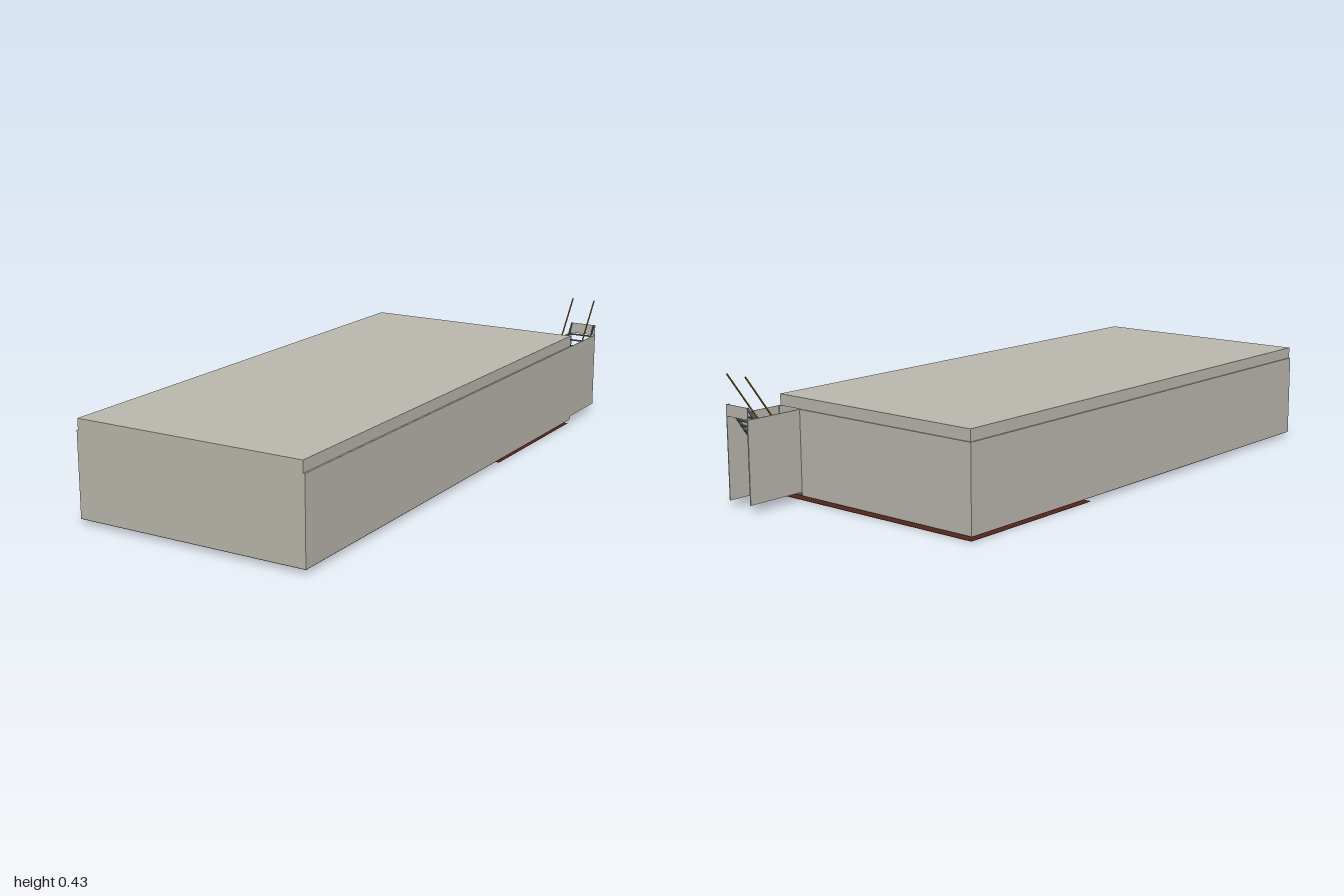
import * as THREE from 'three';

const concrete = new THREE.MeshStandardMaterial({ name: 'concrete', color: 0xbdbab0 });
const darkFloor = new THREE.MeshStandardMaterial({ name: 'darkFloor', color: 0x5b5f5e });
const redFloor = new THREE.MeshStandardMaterial({ name: 'redFloor', color: 0x56241a });
const stairSteel = new THREE.MeshStandardMaterial({ name: 'stairSteel', color: 0x646b70 });
const railBrass = new THREE.MeshStandardMaterial({ name: 'railBrass', color: 0x86691c });

// Box given by its limits on each axis
function slab(name, material, [x0, x1], [y0, y1], [z0, z1]) {
  const mesh = new THREE.Mesh(new THREE.BoxGeometry(x1 - x0, y1 - y0, z1 - z0), material);
  mesh.position.set((x0 + x1) / 2, (y0 + y1) / 2, (z0 + z1) / 2);
  mesh.name = name;
  return mesh;
}

// Sloping bar in the y-z plane between two [y, z] points
function slopingBar(name, material, x, [y0, z0], [y1, z1], width, depth) {
  const length = Math.hypot(y1 - y0, z1 - z0);
  const mesh = new THREE.Mesh(new THREE.BoxGeometry(width, length, depth), material);
  mesh.position.set(x, (y0 + y1) / 2, (z0 + z1) / 2);
  mesh.rotation.x = Math.atan2(z1 - z0, y1 - y0);
  mesh.name = name;
  return mesh;
}

export function createModel() {
  const model = new THREE.Group();
  model.name = 'basement';

  // Hollow room: walls, roof slab and floor
  const room = new THREE.Group();
  room.name = 'room';
  room.add(
    slab('rightWall', concrete, [-0.41, -0.404], [0.017, 0.297], [-0.79, 1]),
    slab('leftWall', concrete, [0.404, 0.41], [0.017, 0.297], [-0.79, 1]),
    slab('frontWall', concrete, [-0.404, 0.404], [0.017, 0.297], [0.992, 1]),
    slab('backWall', concrete, [-0.404, 0.31], [0.017, 0.297], [-0.789, -0.78]),
    slab('roofSlab', concrete, [-0.405, 0.404], [0.297, 0.335], [-0.785, 1]),
    slab('subfloor', concrete, [-0.404, 0.404], [0.017, 0.02], [-0.78, 0.992])
  );

  // Dark floor panels with narrow joints
  const joints = [1, 0.65, 0.28, -0.215, -0.79];
  for (let i = 0; i < joints.length - 1; i++) {
    const back = joints[i + 1] + (i < 3 ? 0.002 : 0);
    room.add(slab('floorPanel', darkFloor, [-0.41, 0.41], [0.015, 0.017], [back, joints[i]]));
  }
  room.add(slab('redFloorPlate', redFloor, [-0.405, 0.403], [0, 0.001], [-0.785, -0.215]));
  model.add(room);

  // Stairwell enclosure, open at the back
  const stairwell = new THREE.Group();
  stairwell.name = 'stairwell';
  stairwell.add(
    slab('innerStairWall', concrete, [0.31, 0.314], [0.028, 0.297], [-1, -0.789]),
    slab('outerStairWall', concrete, [0.407, 0.41], [0.028, 0.297], [-1, -0.79]),
    slab('topPanel', concrete, [0.31, 0.41], [0.297, 0.335], [-1, -0.998])
  );

  // Open-riser stair with stringers and handrails
  const steps = 14;
  for (let i = 0; i < steps; i++) {
    const y = 0.04 + i * 0.0197;
    const z = -0.79 - i * 0.0134;
    stairwell.add(slab('tread', stairSteel, [0.317, 0.404], [y, y + 0.003], [z - 0.0125, z]));
  }
  for (const [stringerX, railX] of [[0.316, 0.316], [0.405, 0.402]]) {
    stairwell.add(
      slopingBar('stringer', stairSteel, stringerX, [0.035, -0.786], [0.333, -0.995], 0.003, 0.008),
      slopingBar('handrail', railBrass, railX, [0.15, -0.794], [0.43, -0.998], 0.004, 0.004)
    );
  }
  model.add(stairwell);

  return model;
}
